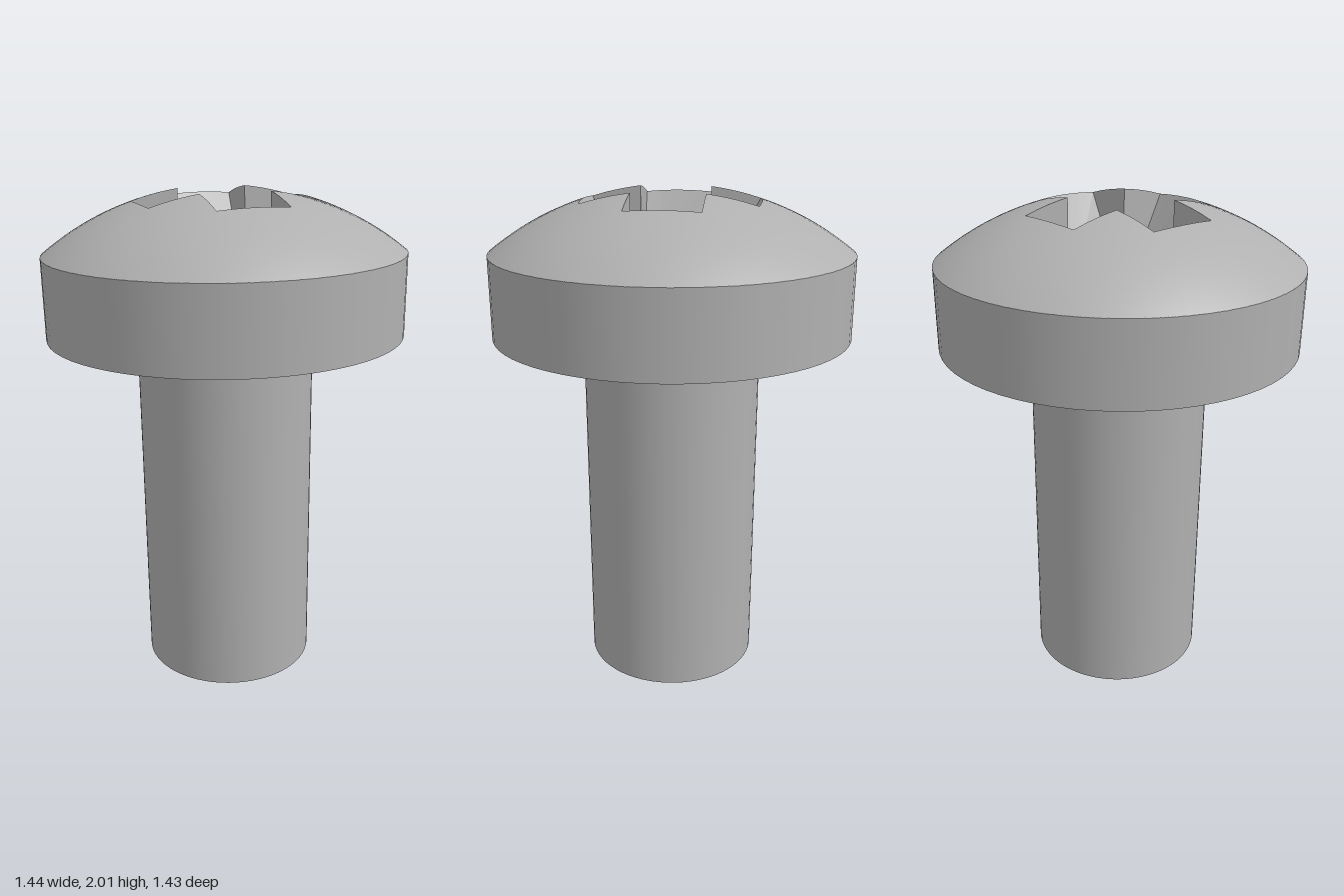
import * as THREE from 'three';

const HEAD_R = 0.716, SHAFT_R = 0.356, HEAD_Y = 1.445, RIM_Y = 1.768;
const DOME_R = 1.15, DOME_Y = 0.8675;          // sphere that forms the dome
const HALF = 0.142, ARM = 0.338, TURN = 0.25;  // cross recess: half width, length, twist
const FLOOR_Y = 1.56, TIP_Y = 1.33;

const polar = (r, a, y) => new THREE.Vector3(r * Math.cos(a + TURN), y, r * Math.sin(a + TURN));
const domeY = (r) => DOME_Y + Math.sqrt(DOME_R * DOME_R - r * r);

// Cross outline as a list of arms, each holding a side, an end and another side
function crossArms() {
  const corner = Math.atan2(HALF, ARM), arms = [];
  const at = (r, a) => polar(r, a, domeY(r));
  for (let k = 0; k < 4; k++) {
    const base = k * Math.PI / 2, sideA = [], end = [], sideB = [];
    for (let i = 0; i <= 6; i++) {
      const a = Math.PI / 4 + (corner - Math.PI / 4) * i / 6;
      sideA.push(at(HALF / Math.sin(a), base - a));
      sideB.unshift(at(HALF / Math.sin(a), base + a));
    }
    for (let i = 0; i <= 8; i++) {
      const t = i / 4 - 1, z = t * HALF, x = ARM + 0.009 * (1 - t * t);
      end.push(at(Math.hypot(x, z), base + Math.atan2(z, x)));
    }
    arms.push({ base, sideA, end, sideB });
  }
  return arms;
}

// Dome skin between the cross outline and the rim, with exact sphere normals
function domeGeometry(arms) {
  const outline = arms.flatMap(({ sideA, end, sideB }) =>
    [...sideA, ...end.slice(1), ...sideB.slice(1, -1)]);
  const RINGS = 12, n = outline.length, pos = [], nor = [], index = [];
  for (let j = 0; j <= RINGS; j++) {
    for (const p of outline) {
      const r0 = Math.hypot(p.x, p.z), r = r0 + (HEAD_R - r0) * j / RINGS;
      const v = new THREE.Vector3(p.x * r / r0, domeY(r), p.z * r / r0);
      pos.push(v.x, v.y, v.z);
      nor.push(v.x / DOME_R, (v.y - DOME_Y) / DOME_R, v.z / DOME_R);
    }
  }
  for (let j = 0; j < RINGS; j++) {
    for (let i = 0; i < n; i++) {
      const a = j * n + i, b = j * n + (i + 1) % n;
      index.push(a, b, a + n, b, b + n, a + n);
    }
  }
  const g = new THREE.BufferGeometry();
  g.setAttribute('position', new THREE.Float32BufferAttribute(pos, 3));
  g.setAttribute('normal', new THREE.Float32BufferAttribute(nor, 3));
  g.setIndex(index);
  return g;
}

// Faceted cavity: steep arm floors, upright arm walls and a pointed centre
function recessGeometry(arms) {
  const pos = [], inside = new THREE.Vector3(0, 1.9, 0), tip = new THREE.Vector3(0, TIP_Y, 0);
  const tri = (a, b, c) => {
    const normal = b.clone().sub(a).cross(c.clone().sub(a));
    const order = normal.dot(inside.clone().sub(a)) < 0 ? [a, c, b] : [a, b, c];
    for (const p of order) pos.push(p.x, p.y, p.z);
  };
  const fan = (hub, pts) => { for (let i = 1; i < pts.length; i++) tri(hub, pts[i - 1], pts[i]); };
  for (const { base, sideA, end, sideB } of arms) {
    const lowA = polar(HALF * Math.SQRT2, base - Math.PI / 4, FLOOR_Y);
    const lowB = polar(HALF * Math.SQRT2, base + Math.PI / 4, FLOOR_Y);
    const mid = polar(HALF, base, TIP_Y);
    fan(lowA, sideA);
    fan(lowB, sideB);
    fan(lowA, [...end, lowB]);
    tri(lowA, lowB, mid);
    tri(lowA, mid, tip);
    tri(lowB, mid, tip);
  }
  const g = new THREE.BufferGeometry();
  g.setAttribute('position', new THREE.Float32BufferAttribute(pos, 3));
  g.computeVertexNormals();
  return g;
}

export function createModel() {
  const model = new THREE.Group();
  model.name = 'screw';
  const steel = new THREE.MeshStandardMaterial({ color: 0xb0b0b0 });
  steel.name = 'steel grey';
  const add = (name, geometry) => {
    const mesh = new THREE.Mesh(geometry, steel);
    mesh.name = name;
    model.add(mesh);
  };

  // Plain shaft, open at the top where it joins the head
  add('shaft', new THREE.CylinderGeometry(SHAFT_R, SHAFT_R, HEAD_Y, 64, 1, true)
    .translate(0, HEAD_Y / 2, 0));
  add('shaftEnd', new THREE.CircleGeometry(SHAFT_R, 64).rotateX(Math.PI / 2));

  // Head
  add('headUnderside', new THREE.RingGeometry(SHAFT_R, HEAD_R, 64)
    .rotateX(Math.PI / 2).translate(0, HEAD_Y, 0));
  add('headSide', new THREE.CylinderGeometry(HEAD_R, HEAD_R, RIM_Y - HEAD_Y, 64, 1, true)
    .translate(0, (RIM_Y + HEAD_Y) / 2, 0));
  const arms = crossArms();
  add('headDome', domeGeometry(arms));
  add('crossRecess', recessGeometry(arms));

  // Slight lean
  model.rotation.set(-0.003, 0, 0.014);
  model.position.set(0.02, 0.005, 0.003);
  return model;
}
